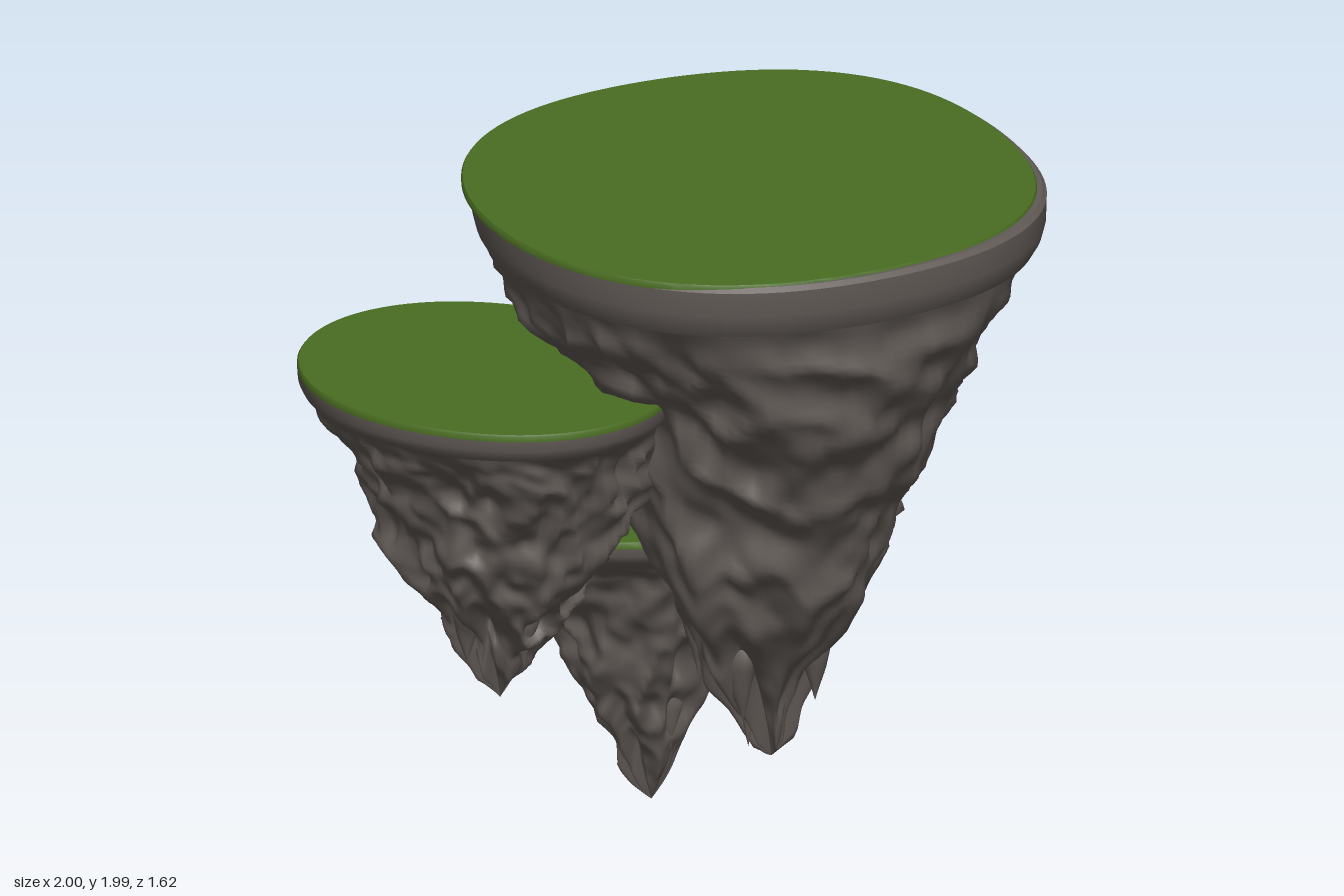
import * as THREE from 'three';
import { toCreasedNormals } from 'three/addons/utils/BufferGeometryUtils.js';

const rock = new THREE.MeshStandardMaterial({ color: 0x625b57 });
rock.name = 'rock grey';
const grass = new THREE.MeshStandardMaterial({ color: 0x4a6d22 });
grass.name = 'grass green';

// Smooth 3D value noise in -1..1
function hash(x, y, z) {
  const s = Math.sin(x * 127.1 + y * 311.7 + z * 74.7) * 43758.5453;
  return (s - Math.floor(s)) * 2 - 1;
}
function noise(x, y, z) {
  const i = Math.floor(x), j = Math.floor(y), k = Math.floor(z);
  const ease = (t) => t * t * (3 - 2 * t);
  const u = ease(x - i), v = ease(y - j), w = ease(z - k);
  const mix = THREE.MathUtils.lerp;
  const row = (b, c) => mix(hash(i, b, c), hash(i + 1, b, c), u);
  return mix(mix(row(j, k), row(j + 1, k), v), mix(row(j, k + 1), row(j + 1, k + 1), v), w);
}

// Resample the rows [y, xMin, xMax, zMin, zMax, backCut]
function resample(rows, steps) {
  const top = rows[0][0], bottom = rows[rows.length - 1][0], out = [];
  for (let s = 0; s <= steps; s++) {
    const y = top + ((bottom - top) * s) / steps;
    let i = 0;
    while (i < rows.length - 2 && rows[i + 1][0] > y) i++;
    const t = (rows[i][0] - y) / (rows[i][0] - rows[i + 1][0]);
    out.push(rows[i].map((v, n) => THREE.MathUtils.lerp(v, rows[i + 1][n], t)));
  }
  return out;
}

// Skin oval rings from top to bottom; outline reshapes the oval, warp may move each point
function skin(rows, { outline = () => 1, sides = 112, warp, crease = 0 }) {
  const pos = [], index = [];
  rows.forEach(([y, x0, x1, z0, z1, cut = -9], r) => {
    for (let j = 0; j < sides; j++) {
      const a = (j / sides) * Math.PI * 2;
      const k = outline(a);
      const z = (z0 + z1) / 2 + ((z1 - z0) / 2) * Math.sin(a) * k;
      const p = new THREE.Vector3((x0 + x1) / 2 + ((x1 - x0) / 2) * Math.cos(a) * k, y, Math.max(z, cut));
      if (warp) warp(p, a, r / (rows.length - 1), Math.min(x1 - x0, z1 - z0) / 2);
      pos.push(p.x, p.y, p.z);
      if (r === rows.length - 1) continue;
      const A = r * sides + j, B = r * sides + ((j + 1) % sides);
      index.push(A, B, A + sides, B, B + sides, A + sides);
    }
  });
  const g = new THREE.BufferGeometry();
  g.setAttribute('position', new THREE.Float32BufferAttribute(pos, 3));
  g.setIndex(index);
  if (crease) return toCreasedNormals(g, crease);
  g.computeVertexNormals();
  return g;
}

// Closed slab: oval [xMin, xMax, zMin, zMax] with [y, inset] steps and end caps
function slab([x0, x1, z0, z1], steps, outline) {
  const ring = ([y, d]) => [y, x0 + d, x1 - d, z0 + d, z1 - d];
  const cx = (x0 + x1) / 2, cz = (z0 + z1) / 2;
  const first = steps[0][0], last = steps[steps.length - 1][0];
  return skin([[first, cx, cx, cz, cz], ...steps.map(ring), [last, cx, cx, cz, cz]], { outline, crease: 0.65 });
}

function island({ name, oval, top, rimHeight, rimShift, rows, outline, rough, scale, cave, spikes }) {
  const group = new THREE.Group();
  group.name = name;
  const add = (geometry, material, part) => {
    const m = new THREE.Mesh(geometry, material);
    m.name = part;
    group.add(m);
  };
  add(slab(oval, [[top, 0.004], [top - 0.006, 0], [top - 0.02, 0]], outline), grass, 'grassTop');
  const [x0, x1, z0, z1] = oval.map((v) => v), s = rimShift;
  const b = top - rimHeight;
  add(slab([x0 + s, x1 + s, z0 + s, z1 + s], [[top - 0.007, 0.012], [top - 0.02, 0],
    [top - rimHeight * 0.55, 0.002], [b + rimHeight * 0.2, 0.012], [b, 0.03]], outline), rock, 'rockRim');

  // Craggy body: broad bulges, vertical ridges and ragged lower edges
  const warp = (p, a, t, radius) => {
    const fade = Math.min(1, t * 12) * Math.min(1, radius / 0.12);
    const f = 4.5 / scale;
    const broad = noise(p.x * f, p.y * f * 0.6, p.z * f);
    const ridge = 1 - 2 * Math.abs(noise(p.x * f * 2 + 9, p.y * f * 0.8, p.z * f * 2 + 4));
    const fine = noise(p.x * f * 4 + 3, p.y * f * 2.2, p.z * f * 4 + 7);
    let d = rough * fade * (broad * 0.9 + ridge * 0.75 + fine * 0.45 - 0.25);
    if (cave) {
      const da = Math.atan2(Math.sin(a - cave.angle), Math.cos(a - cave.angle)) / cave.width;
      const dy = (p.y - cave.y) / cave.height;
      d -= cave.depth * Math.exp(-(da ** 4) - dy ** 4);
    }
    const jag = noise(Math.cos(a) * 4 + 20, Math.sin(a) * 4, 3);
    p.x += Math.cos(a) * d;
    p.z += Math.sin(a) * d;
    p.y += jag * 0.12 * scale * t * t * Math.min(1, radius / 0.06);
  };
  add(skin(resample(rows, 72), { outline, warp }), rock, 'rockBody');

  // Hanging points beside the main tip: [x, z, radius, yTop, yTip]
  spikes.forEach(([x, z, r, yTop, yTip]) => {
    const ring = (y, k) => [y, x - r * k, x + r * k, z - r * k, z + r * k];
    const wobble = (p, a, t) => {
      const d = r * 0.4 * (1 - t) * noise(p.x * 22, p.y * 10, p.z * 22);
      p.x += Math.cos(a) * d;
      p.z += Math.sin(a) * d;
    };
    const cone = resample([ring(yTop, 0.6), ring(yTop * 0.6 + yTip * 0.4, 0.8), ring(yTip, 0)], 14);
    add(skin(cone, { sides: 20, warp: wobble }), rock, 'rockSpike');
  });
  return group;
}

export function createModel() {
  const model = new THREE.Group();
  model.name = 'floatingIslands';
  // The back of the main island is sheared off below its overhang
  model.add(island({
    name: 'mainIsland', oval: [-0.56, 0.98, -0.71, 0.79], top: 1.988, rimHeight: 0.16, rimShift: 0.02,
    outline: (a) => 1 + Math.sin(2 * a) ** 2 * (0.043 + 0.014 * Math.cos(a)), rough: 0.05, scale: 1,
    rows: [
      [1.835, -0.51, 0.97, -0.67, 0.78, -0.8], [1.78, -0.47, 0.93, -0.64, 0.75, -0.8],
      [1.7, -0.43, 0.9, -0.62, 0.73, -0.75], [1.6, -0.35, 0.86, -0.57, 0.69, -0.6],
      [1.52, -0.3, 0.83, -0.54, 0.66, -0.47], [1.4, -0.24, 0.78, -0.49, 0.61, -0.33],
      [1.2, -0.17, 0.69, -0.41, 0.53, -0.21], [1.0, -0.1, 0.6, -0.31, 0.43, -0.17],
      [0.8, -0.01, 0.51, -0.21, 0.33, -0.14], [0.6, 0.08, 0.41, -0.12, 0.22, -0.11],
      [0.45, 0.18, 0.35, -0.04, 0.13, -0.1], [0.35, 0.24, 0.315, 0.015, 0.085, -0.1],
      [0.27, 0.28, 0.28, 0.05, 0.05, -0.1],
    ],
    cave: { angle: -1.75, width: 0.32, y: 1.42, height: 0.13, depth: 0.16 },
    spikes: [[0.15, 0.14, 0.07, 0.75, 0.43], [0.36, 0.0, 0.06, 0.7, 0.42], [0.2, -0.05, 0.06, 0.78, 0.48],
      [0.06, 0.05, 0.06, 0.85, 0.54], [0.36, 0.16, 0.06, 0.75, 0.46], [0.21, 0.05, 0.05, 0.6, 0.31]],
  }));
  model.add(island({
    name: 'middleIsland', oval: [-0.99, -0.03, -0.615, 0.415], top: 1.5, rimHeight: 0.09, rimShift: 0,
    outline: (a) => 1 + 0.08 * Math.sin(2 * a), rough: 0.042, scale: 0.65,
    rows: [
      [1.415, -0.96, -0.06, -0.59, 0.39], [1.36, -0.91, -0.08, -0.56, 0.35], [1.2, -0.83, -0.1, -0.49, 0.28],
      [1.0, -0.76, -0.19, -0.39, 0.19], [0.85, -0.67, -0.28, -0.3, 0.1], [0.7, -0.57, -0.39, -0.2, -0.01],
      [0.61, -0.515, -0.43, -0.145, -0.06], [0.52, -0.47, -0.47, -0.1, -0.1],
    ],
    spikes: [[-0.58, -0.08, 0.06, 0.9, 0.65], [-0.36, -0.1, 0.06, 0.95, 0.67], [-0.46, 0.03, 0.05, 0.9, 0.65],
      [-0.48, -0.21, 0.05, 0.9, 0.67]],
  }));
  model.add(island({
    name: 'lowIsland', oval: [-0.36, 0.59, -0.81, 0.01], top: 0.937, rimHeight: 0.08, rimShift: 0,
    outline: (a) => 1 - 0.015 * Math.sin(2 * a), rough: 0.036, scale: 0.65,
    rows: [
      [0.86, -0.33, 0.56, -0.78, -0.02], [0.8, -0.27, 0.5, -0.75, -0.08], [0.6, -0.18, 0.41, -0.67, -0.17],
      [0.4, -0.09, 0.32, -0.58, -0.24], [0.2, 0.02, 0.22, -0.49, -0.32], [0.1, 0.075, 0.175, -0.44, -0.365],
      [0.0, 0.13, 0.13, -0.4, -0.4],
    ],
    spikes: [[0.05, -0.4, 0.045, 0.34, 0.1], [0.19, -0.43, 0.045, 0.34, 0.12], [0.1, -0.48, 0.045, 0.4, 0.14],
      [0.15, -0.32, 0.045, 0.4, 0.17]],
  }));
  return model;
}
